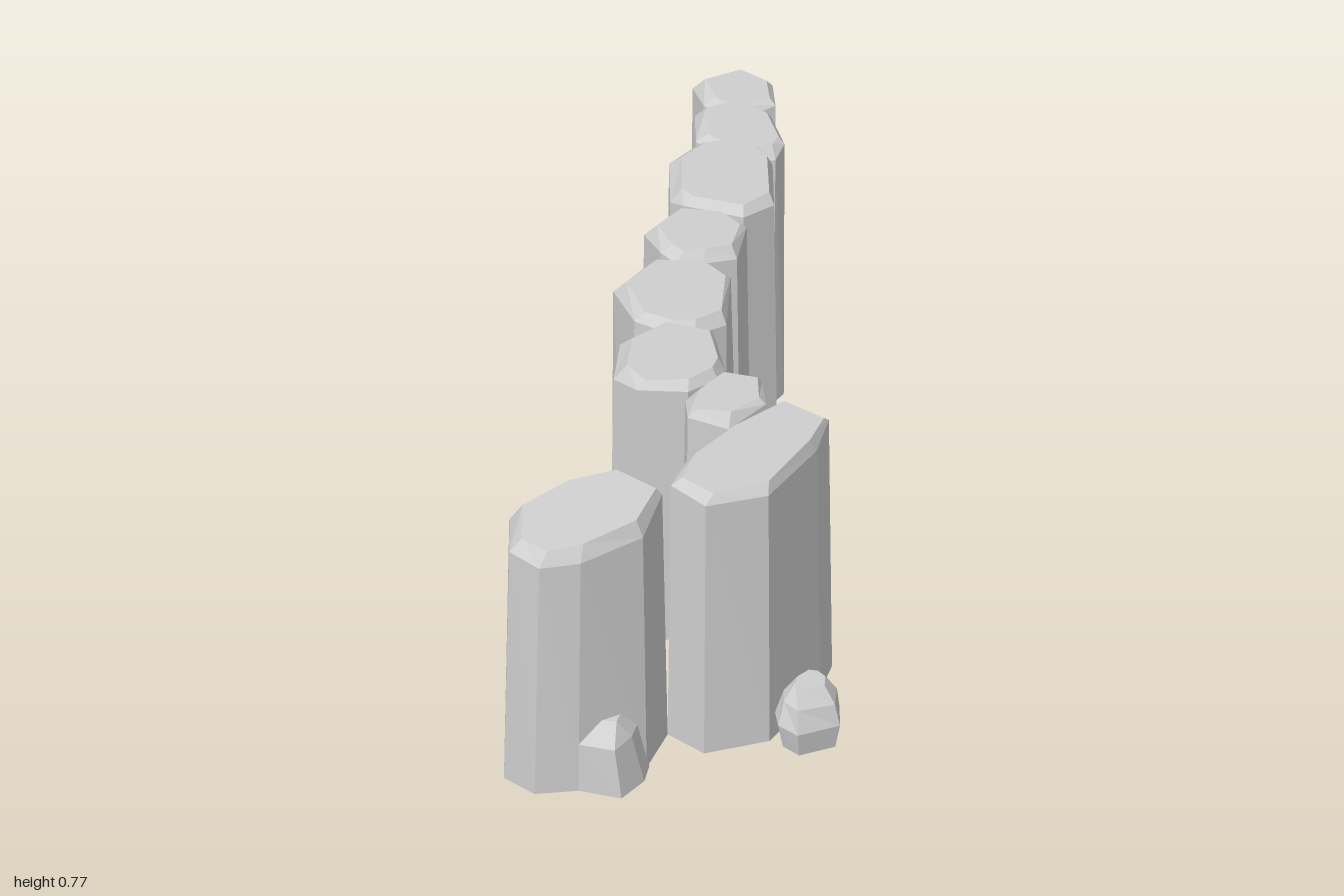
import * as THREE from 'three';

// Lofts flat-shaded rings of [x, y, z] corners, from the base up, and caps both ends.
function loft(rings) {
  const pos = [];
  const n = rings[0].length;
  const tri = (a, b, c) => pos.push(...a, ...b, ...c);
  const middle = (ring) => [0, 1, 2].map((k) => ring.reduce((s, p) => s + p[k], 0) / n);
  const base = rings[0], top = rings[rings.length - 1];
  const cb = middle(base), ct = middle(top);
  for (let i = 0; i < n; i++) {
    const j = (i + 1) % n;
    for (let r = 0; r < rings.length - 1; r++) {
      const lo = rings[r], hi = rings[r + 1];
      tri(lo[j], lo[i], hi[j]);
      tri(lo[i], hi[i], hi[j]);
    }
    tri(cb, base[i], base[j]);
    tri(ct, top[j], top[i]);
  }
  const g = new THREE.BufferGeometry();
  g.setAttribute('position', new THREE.Float32BufferAttribute(pos, 3));
  g.computeVertexNormals();
  return g;
}

// Moves an outline towards its centre by a distance, after a small twist.
function shrink(outline, inset, twist = 0) {
  const cx = outline.reduce((s, p) => s + p[0], 0) / outline.length;
  const cz = outline.reduce((s, p) => s + p[1], 0) / outline.length;
  return outline.map(([x, z]) => {
    const dx = x - cx, dz = z - cz, d = Math.hypot(dx, dz);
    const a = Math.atan2(dz, dx) + twist;
    return [cx + Math.cos(a) * (d - inset), cz + Math.sin(a) * (d - inset)];
  });
}

// Rock column: straight shaft with a slight taper and an unevenly chipped rim.
function columnGeometry({ outline, taper = 0.01, twist = 0, height = 0.775, slope = 0, bevel = 0.016 }) {
  const cx = outline.reduce((s, p) => s + p[0], 0) / outline.length;
  const level = (x) => height + slope * (x - cx);
  const shoulder = shrink(outline, taper, twist)
    .map(([x, z], i) => [x, level(x) - bevel - 0.007 * ((i * 3) % 4), z]);
  const rim = shrink(outline, taper + 0.027, twist)
    .map(([x, z]) => [x + 0.006, level(x), z + 0.006]);
  return loft([outline.map(([x, z]) => [x, 0, z]), shoulder, rim]);
}

// Outlines run left, back, right, front as [x, z].
const columns = [
  { name: 'detachedColumn', height: 0.741, slope: 0.1, bevel: 0.028, taper: 0.012, twist: -0.03,
    outline: [[-1, 0.3], [-0.87, 0.18], [-0.68, 0.21], [-0.56, 0.3], [-0.56, 0.46], [-0.71, 0.53], [-0.91, 0.48], [-1, 0.41]] },
  { name: 'frontColumn',
    outline: [[-0.56, 0.46], [-0.45, 0.39], [-0.24, 0.36], [-0.05, 0.39], [-0.035, 0.54], [-0.14, 0.6], [-0.4, 0.67], [-0.56, 0.59]] },
  { name: 'linkColumn',
    outline: [[-0.3, 0.27], [-0.22, 0.18], [-0.07, 0.17], [-0.015, 0.28], [-0.1, 0.38], [-0.24, 0.37]] },
  { name: 'bendColumn', taper: 0.012,
    outline: [[-0.3, 0.09], [-0.28, -0.02], [-0.15, -0.12], [0, -0.1], [0.06, 0.03], [-0.03, 0.17], [-0.09, 0.2], [-0.2, 0.19]] },
  { name: 'middleColumn', taper: 0.012, twist: -0.1,
    outline: [[-0.07, -0.16], [0.04, -0.32], [0.2, -0.32], [0.29, -0.2], [0.27, -0.09], [0.1, 0.03], [0, 0], [-0.05, -0.06]] },
  { name: 'narrowColumn',
    outline: [[0.21, -0.32], [0.27, -0.44], [0.4, -0.45], [0.48, -0.34], [0.47, -0.24], [0.36, -0.17], [0.27, -0.21], [0.21, -0.26]] },
  { name: 'wideColumn',
    outline: [[0.41, -0.43], [0.42, -0.49], [0.55, -0.62], [0.67, -0.62], [0.77, -0.54], [0.75, -0.42], [0.6, -0.27], [0.49, -0.28]] },
  { name: 'innerEndColumn', taper: 0.004, twist: -0.08,
    outline: [[0.66, -0.63], [0.78, -0.73], [0.89, -0.68], [0.89, -0.56], [0.8, -0.44], [0.75, -0.43], [0.66, -0.5]] },
  { name: 'endColumn', taper: 0.008, twist: -0.05,
    outline: [[0.79, -0.73], [0.86, -0.83], [0.99, -0.78], [1, -0.66], [0.92, -0.58], [0.8, -0.63]] },
];

// Boulders: uneven rings given as [y, inset, shiftX, shiftZ, twist].
const boulders = [
  { name: 'frontBoulder',
    outline: [[-0.41, 0.71], [-0.37, 0.66], [-0.27, 0.65], [-0.235, 0.69], [-0.235, 0.76], [-0.3, 0.825], [-0.41, 0.78]],
    rings: [[0, 0.015, 0, 0, 0], [0.07, 0, 0, 0, 0], [0.13, 0.016, 0.008, 0, 0.1], [0.175, 0.05, 0.01, 0, 0.15]] },
  { name: 'sideBoulder',
    outline: [[-0.91, 0.48], [-0.84, 0.42], [-0.72, 0.44], [-0.7, 0.53], [-0.76, 0.57], [-0.86, 0.585]],
    rings: [[0, 0, 0, 0, 0], [0.14, 0.018, -0.016, -0.005, 0], [0.19, 0.06, 0.005, -0.01, 0]] },
];

export function createModel() {
  const model = new THREE.Group();
  model.name = 'rockWall';
  const stone = new THREE.MeshStandardMaterial({ color: 0xcecece });
  stone.name = 'greyStone';

  const add = (name, geometry) => {
    const mesh = new THREE.Mesh(geometry, stone);
    mesh.name = name;
    model.add(mesh);
  };

  for (const c of columns) add(c.name, columnGeometry(c));
  for (const b of boulders) {
    const rings = b.rings.map(([y, inset, sx, sz, twist]) =>
      shrink(b.outline, inset, twist).map(([x, z]) => [x + sx, y, z + sz]));
    add(b.name, loft(rings));
  }
  return model;
}
